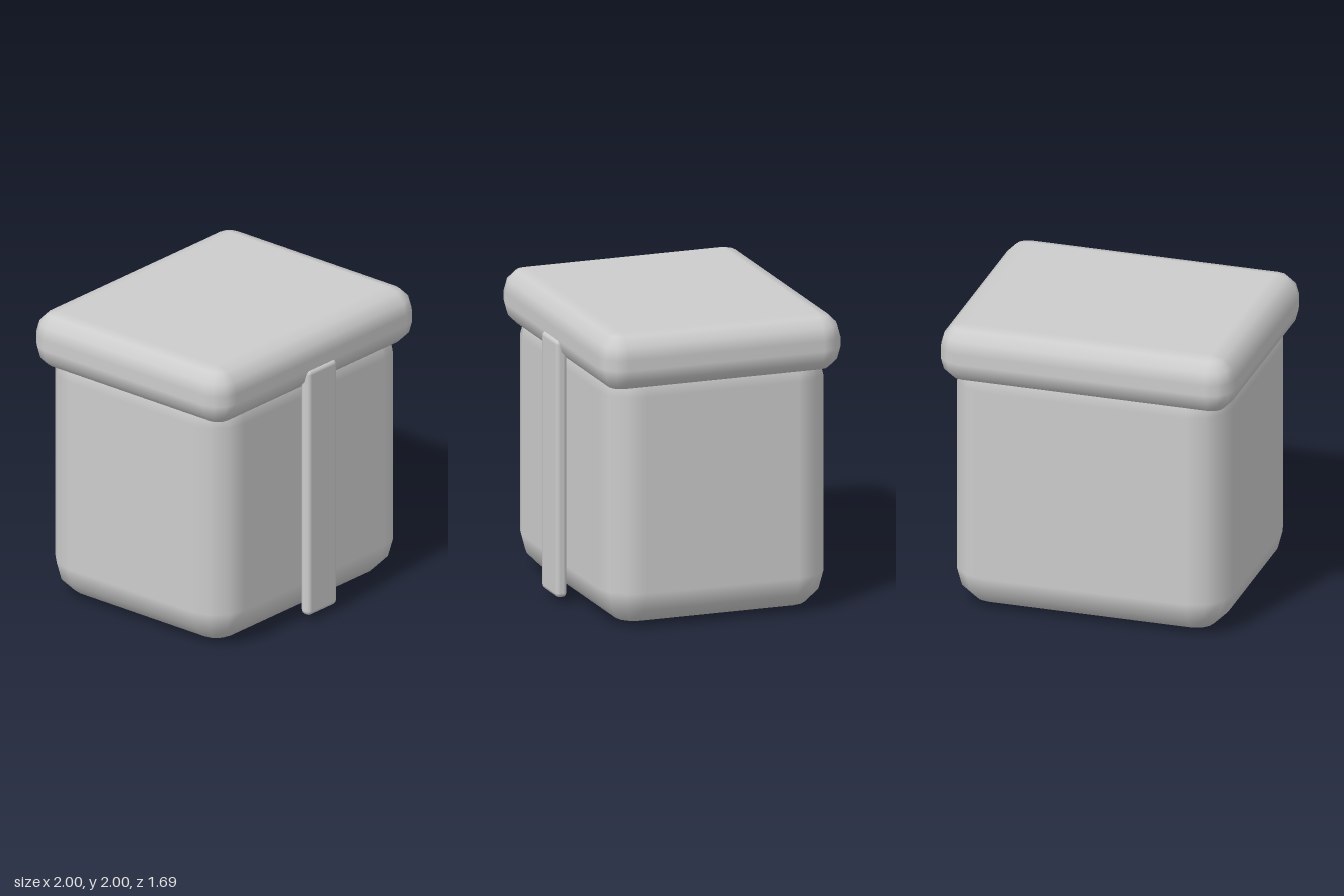
import * as THREE from 'three';

const grey = new THREE.MeshStandardMaterial({ color: 0xcccccc });
grey.name = 'plain grey';

// Box from min to max corner, with edges rounded by radius r in `seg` steps
function roundedBox(name, min, max, r, seg = 3) {
  const lo = min.map((v) => v + r);
  const hi = max.map((v) => v - r);
  const around = 4 * (seg + 1);
  const rings = 2 * (seg + 1);
  const pos = [], nor = [], idx = [];

  // Rings from bottom to top; each goes around the four corners
  for (let i = 0; i < rings; i++) {
    const upper = i > seg;
    const lat = ((upper ? i - seg - 1 : i - seg) / seg) * (Math.PI / 2);
    for (let j = 0; j < around; j++) {
      const corner = Math.floor(j / (seg + 1));
      const lon = (corner + (j % (seg + 1)) / seg) * (Math.PI / 2);
      const n = [Math.cos(lat) * Math.cos(lon), Math.sin(lat), Math.cos(lat) * Math.sin(lon)];
      const x = corner === 0 || corner === 3 ? hi[0] : lo[0];
      const z = corner < 2 ? hi[2] : lo[2];
      pos.push(x + r * n[0], (upper ? hi[1] : lo[1]) + r * n[1], z + r * n[2]);
      nor.push(...n);
    }
  }
  for (let i = 0; i < rings - 1; i++) {
    for (let j = 0; j < around; j++) {
      const a = i * around + j;
      const b = i * around + ((j + 1) % around);
      idx.push(a, a + around, b, b, a + around, b + around);
    }
  }
  // Flat bottom and top between the four corner poles
  const [p, q, s, t] = [0, 1, 2, 3].map((c) => c * (seg + 1));
  const top = (rings - 1) * around;
  idx.push(p, q, s, p, s, t);
  idx.push(top + p, top + s, top + q, top + p, top + t, top + s);

  const geo = new THREE.BufferGeometry();
  geo.setAttribute('position', new THREE.Float32BufferAttribute(pos, 3));
  geo.setAttribute('normal', new THREE.Float32BufferAttribute(nor, 3));
  geo.setIndex(idx);
  const mesh = new THREE.Mesh(geo, grey);
  mesh.name = name;
  return mesh;
}

export function createModel() {
  const group = new THREE.Group();
  group.name = 'liddedBox';
  group.add(
    roundedBox('body', [-0.935, 0, -0.78], [0.935, 1.81, 0.77], 0.245),
    roundedBox('lid', [-1, 1.61, -0.845], [1, 2, 0.83], 0.16),
    roundedBox('frontStrap', [-0.145, 0.04, 0.767], [0.14, 1.77, 0.847], 0.03)
  );
  return group;
}
